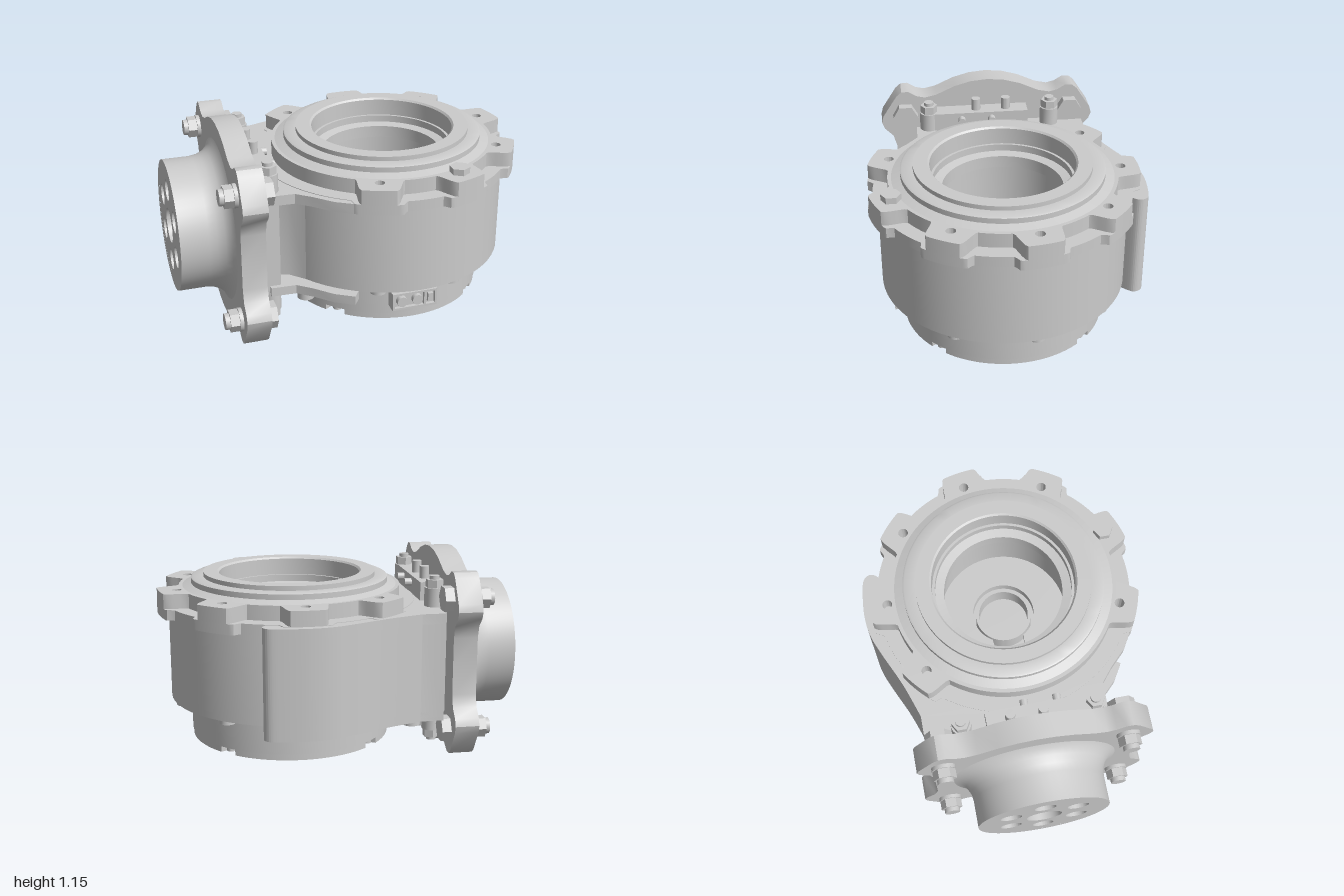
import * as THREE from 'three';
import { toCreasedNormals } from 'three/addons/utils/BufferGeometryUtils.js';

const CX = 0.245, CZ = 0.025, PY = 0.58; // main axis (x, z) and height of the side axis
const grey = new THREE.MeshStandardMaterial({ color: 0xcccccc });

export function createModel() {
  const root = new THREE.Group();
  const add = (name, geo, parent = root) => {
    const mesh = new THREE.Mesh(toCreasedNormals(geo, 0.6), grey);
    mesh.name = name;
    parent.add(mesh);
    return mesh;
  };
  const box = (name, w, h, d, x, y, z) => add(name, new THREE.BoxGeometry(w, h, d).translate(x, y, z));
  const rod = (name, r, h, x, y, z, axis = 'y', sides = 20) => {
    const g = new THREE.CylinderGeometry(r, r, h, sides);
    if (axis === 'x') g.rotateZ(Math.PI / 2);
    if (axis === 'z') g.rotateX(Math.PI / 2);
    return add(name, g.translate(x, y, z));
  };
  const circle = (x, y, r) => new THREE.Path().absarc(x, y, r, 0, Math.PI * 2, true);
  // Horizontal slab: shape x is world x, shape y is world -z
  const slab = (name, shape, y0, y1, x = CX, z = CZ) =>
    add(name, new THREE.ExtrudeGeometry(shape, { depth: y1 - y0, bevelEnabled: false, curveSegments: 32 })
      .rotateX(-Math.PI / 2).translate(x, y0, z));
  // Closed outline whose radius depends on the angle
  const polar = (radius, n = 360) => new THREE.Shape(Array.from({ length: n }, (_, i) => {
    const a = i / n * Math.PI * 2, r = radius(i / n * 360);
    return new THREE.Vector2(r * Math.cos(a), r * Math.sin(a));
  }));
  const at = (deg, r) => [r * Math.cos(deg * Math.PI / 180), r * Math.sin(deg * Math.PI / 180)];
  const step = (v, a, b) => THREE.MathUtils.smoothstep(v, a, b);

  // Turned motor housing with stepped bore
  const profile = [[0, 0.13], [0.575, 0.13], [0.575, 0.33], [0.69, 0.33], [0.69, 0.83], [0.61, 0.84], [0.61, 0.97],
    [0.56, 0.985], [0.56, 1.015], [0.55, 1.02], [0.49, 1.02], [0.49, 1.045], [0.41, 1.045], [0.4, 1.035], [0.4, 0.94],
    [0.385, 0.94], [0.385, 0.9], [0.335, 0.89], [0.335, 0.82], [0.37, 0.82], [0.37, 0.42], [0, 0.42]];
  add('motorHousing', new THREE.LatheGeometry(profile.map(p => new THREE.Vector2(...p)), 72).translate(CX, 0, CZ));

  // Bore floor with a keyhole opening
  const floor = new THREE.Shape().absarc(0, 0, 0.372, 0, Math.PI * 2);
  const keyhole = new THREE.Path();
  keyhole.absarc(0, 0, 0.18, -2.6, 2.6, false);
  keyhole.absarc(-0.27, 0, 0.1, 1.05, 5.23, false);
  keyhole.closePath();
  floor.holes.push(keyhole);
  slab('boreFloor', floor, 0.5, 0.55);
  const rim = new THREE.Shape().absarc(0, 0, 0.165, 0, Math.PI * 2);
  rim.holes.push(circle(0, 0, 0.145));
  slab('centreSleeve', rim, 0.42, 0.53);

  // Notched bottom cover with screws in the notches
  const fold = (deg, period, offset) => Math.abs(((deg - offset) % period + period * 1.5) % period - period / 2);
  slab('bottomCover', polar(d => fold(d, 90, 45) < 5 ? 0.51 : 0.57), 0.095, 0.135);
  for (const deg of [45, 135, 225, 315]) {
    const [x, z] = at(deg, 0.54);
    rod('coverScrew', 0.025, 0.025, CX + x, 0.12, CZ + z);
  }

  // Two-tier scalloped mounting flange, bosses every 40 degrees
  const bosses = [90, 50, 10, -30, -70, -110, 130];
  const near = d => Math.min(...bosses.map(b => Math.abs((d - b + 540) % 360 - 180)));
  const lower = polar(d => 0.755 - 0.04 * step(near(d), 9.5, 12));
  const upper = polar(d => 0.755 - 0.125 * step(near(d), 7, 12));
  for (const s of [lower, upper]) {
    s.holes.push(circle(0, 0, 0.5));
    bosses.filter(b => b !== -70).forEach(b => s.holes.push(circle(...at(b, 0.655), 0.027)));
  }
  slab('lowerFlange', lower, 0.83, 0.888);
  slab('upperFlange', upper, 0.885, 0.97);
  const [hx, hz] = at(70, 0.655);
  rod('flangeBolt', 0.055, 0.04, CX + hx, 0.985, CZ + hz, 'y', 6);

  // Side housing wrapping the back, and its wider end plates
  const backEdge = [[-0.4, 0.55], [-0.2, 0.62], [0, 0.71], [0.12, 0.755], [0.24, 0.77], [0.38, 0.76], [0.46, 0.74], [0.48, 0.69], [0.43, 0.63]];
  const bracket = front => {
    const s = new THREE.Shape();
    s.moveTo(-0.53, 0.55);
    s.lineTo(-0.4, 0.55);
    s.splineThru(backEdge.slice(1).map(p => new THREE.Vector2(...p)));
    s.absarc(CX, -CZ, 0.53, 1.3, front.arc, false);
    front.points.forEach(p => s.lineTo(...p));
    s.closePath();
    return s;
  };
  const neck = bracket({ arc: 3.7, points: [[-0.32, -0.42], [-0.4, -0.34], [-0.53, -0.3]] });
  slab('sideHousing', neck, 0.3, 0.83, 0, 0);
  const plate = bracket({ arc: 4.1, points: [[-0.08, -0.62], [-0.12, -0.68], [-0.22, -0.62], [-0.31, -0.53], [-0.39, -0.465], [-0.53, -0.46]] });
  slab('upperSidePlate', plate, 0.828, 0.885, 0, 0);
  slab('lowerSidePlate', plate, 0.28, 0.332, 0, 0);
  box('neckBlock', 0.12, 0.6, 0.82, -0.53, PY, CZ);

  // Four-eared side plate
  const quarter = [[0, 0.577], [0.1, 0.568], [0.2, 0.54], [0.31, 0.49], [0.38, 0.475], [0.43, 0.487], [0.48, 0.517], [0.52, 0.515],
    [0.55, 0.49], [0.635, 0.36], [0.645, 0.32], [0.63, 0.28], [0.58, 0.23], [0.56, 0.16], [0.56, 0]];
  const half = [...quarter, ...quarter.slice(0, -1).reverse().map(([u, v]) => [u, -v])];
  const outline = [...half, ...half.slice(1, -1).reverse().map(([u, v]) => [-u, v])].reverse();
  add('earedPlate', new THREE.ExtrudeGeometry(new THREE.Shape(outline.map(p => new THREE.Vector2(...p))),
    { depth: 0.135, bevelEnabled: false }).rotateY(Math.PI / 2).translate(-0.715, PY, CZ));

  // Output sleeve with fillet, closed by a drilled face
  const sleeve = [[0.46, 0], [0.425, 0.015], [0.395, 0.045], [0.377, 0.085], [0.37, 0.13], [0.37, 0.285], [0.33, 0.285]];
  add('outputSleeve', new THREE.LatheGeometry(sleeve.map(p => new THREE.Vector2(...p)), 56)
    .rotateZ(Math.PI / 2).translate(-0.715, PY, CZ));
  const face = new THREE.Shape().absarc(0, 0, 0.335, 0, Math.PI * 2);
  face.holes.push(circle(0, 0, 0.1));
  for (let i = 0; i < 6; i++) {
    const a = i * 60 + 30;
    face.holes.push(circle(...at(a, 0.215), 0.06));
  }
  add('outputFace', new THREE.ExtrudeGeometry(face, { depth: 0.1, bevelEnabled: false, curveSegments: 32 })
    .rotateY(Math.PI / 2).translate(-0.999, PY, CZ));

  // Ear bolts: washer, nut and stud outside, hex head inside
  for (const sy of [-1, 1]) for (const sz of [-1, 1]) {
    const y = PY + sy * 0.37, z = CZ + sz * 0.5;
    rod('washer', 0.065, 0.02, -0.725, y, z, 'x');
    rod('nut', 0.062, 0.05, -0.76, y, z, 'x', 6);
    rod('stud', 0.045, 0.03, -0.795, y, z, 'x');
    rod('boltHead', 0.075, 0.055, -0.555, y, z, 'x', 6);
  }

  // Clamp blocks above and below the neck
  for (const s of [-1, 1]) {
    const y = v => PY + s * v;
    box('clampBlock', 0.11, 0.11, 0.62, -0.525, y(0.355), 0.1);
    for (const z of [-0.08, 0.1]) rod('clampPin', 0.027, 0.08, -0.525, y(0.44), z);
    for (const z of [0.01, 0.19]) rod('clampScrew', 0.022, 0.05, -0.455, y(0.37), z, 'x');
    for (const z of [-0.345, 0.385]) {
      rod('clampWasher', 0.055, 0.13, -0.515, y(0.345), z);
      rod('clampNut', 0.05, 0.05, -0.515, y(0.43), z, 'y', 6);
      rod('clampStud', 0.028, 0.02, -0.515, y(0.465), z);
    }
  }

  // Screws under the housing ledge and lower side plate
  for (let i = 0; i < 9; i++) {
    const [x, z] = at(70 + i * 40, 0.632);
    if (i !== 2 && i !== 3) rod('ledgeScrew', 0.045, 0.03, CX + x, 0.318, CZ + z);
  }
  for (const [x, z] of [[-0.325, 0.42], [-0.38, -0.42], [-0.4, 0.1]]) rod('plateScrew', 0.048, 0.06, x, 0.255, z);

  // Connector on the front of the cover
  box('connectorBody', 0.26, 0.1, 0.06, 0.235, 0.235, 0.605);
  for (const y of [0.19, 0.28]) box('connectorRim', 0.26, 0.012, 0.04, 0.235, y, 0.635);
  for (const x of [0.111, 0.295, 0.359]) box('connectorWall', 0.012, 0.1, 0.04, x, 0.235, 0.635);
  for (const x of [0.16, 0.25]) rod('connectorPin', 0.03, 0.035, x, 0.235, 0.645, 'z');
  box('signalPlug', 0.03, 0.05, 0.03, 0.328, 0.235, 0.64);

  return root;
}
